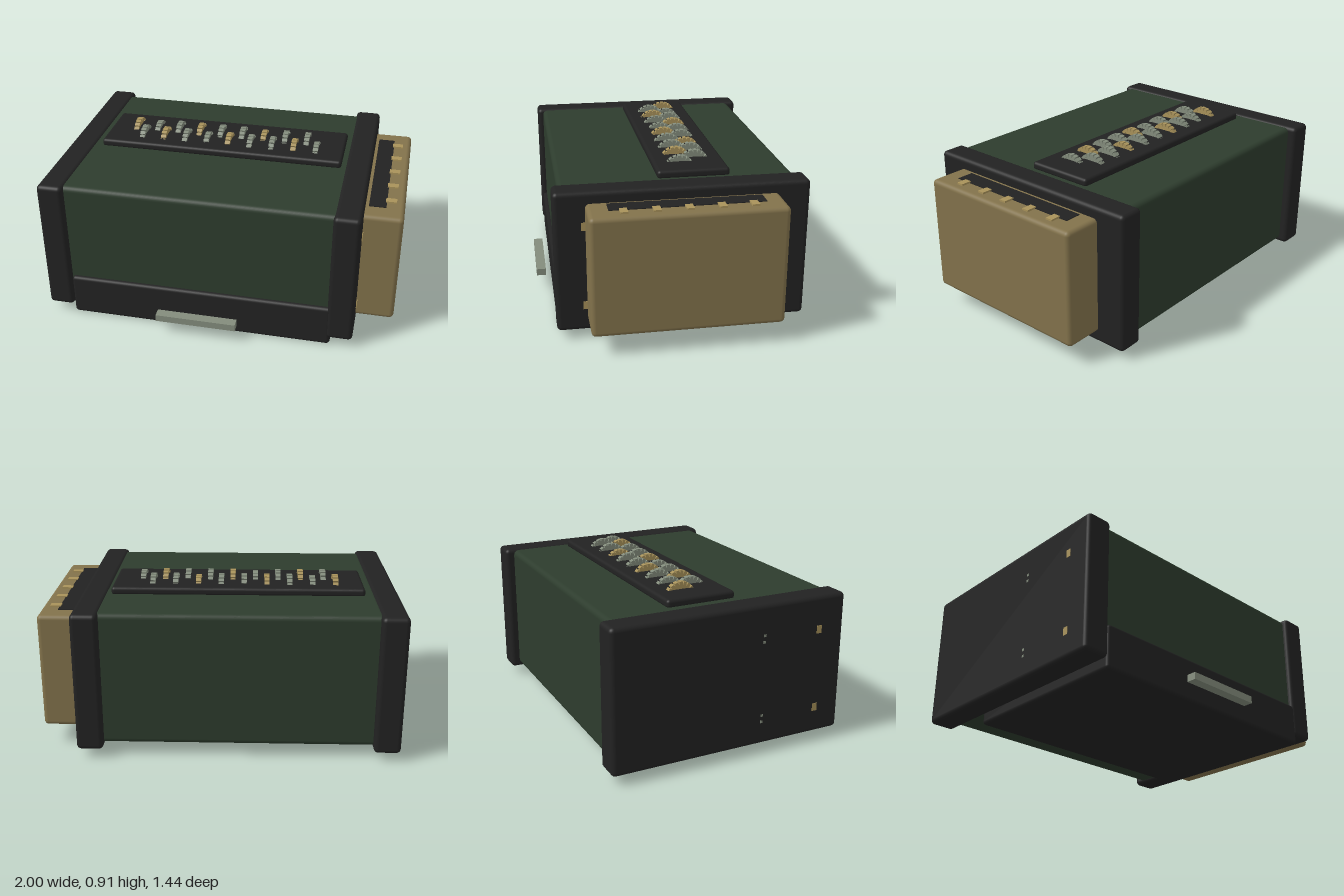
import * as THREE from 'three';
import { RoundedBoxGeometry } from 'three/addons/geometries/RoundedBoxGeometry.js';
import { mergeGeometries } from 'three/addons/utils/BufferGeometryUtils.js';

function material(name, color) {
  const m = new THREE.MeshStandardMaterial({ color });
  m.name = name;
  return m;
}

export function createModel() {
  const model = new THREE.Group();
  model.name = 'rotorBox';

  const black = material('black', 0x222222);
  const green = material('dark green', 0x2d3c2d);
  const brass = material('dull brass', 0x82724b);
  const paleBrass = material('pale brass', 0xa8925a);
  const steel = material('grey green steel', 0x838c7c);

  // Box given by its limits on each axis, with optional rounded edges
  function block(name, mat, [x0, x1], [y0, y1], [z0, z1], radius = 0) {
    const size = [x1 - x0, y1 - y0, z1 - z0];
    const geometry = radius
      ? new RoundedBoxGeometry(...size, 3, radius)
      : new THREE.BoxGeometry(...size);
    const mesh = new THREE.Mesh(geometry, mat);
    mesh.name = name;
    mesh.position.set((x0 + x1) / 2, (y0 + y1) / 2, (z0 + z1) / 2);
    model.add(mesh);
    return mesh;
  }

  // Housing
  block('body', green, [-0.88, 0.68], [0.07, 0.828], [-0.672, 0.605], 0.03);
  block('base', black, [-0.85, 0.66], [0, 0.245], [-0.415, 0.63], 0.02);
  block('rightEndPlate', black, [-1, -0.852], [0.05, 0.836], [-0.722, 0.638], 0.025);
  block('leftEndPlate', black, [0.638, 0.785], [0.05, 0.836], [-0.722, 0.638], 0.025);
  block('frontBar', steel, [-0.325, 0.135], [0.08, 0.12], [0.665, 0.72]);

  // Side case with its slot and clips
  block('sideCase', brass, [0.74, 0.997], [0.115, 0.773], [-0.553, 0.473], 0.025);
  block('caseSlot', black, [0.803, 0.897], [0.768, 0.777], [-0.452, 0.365]);
  for (let i = 0; i < 5; i++) {
    const z = -0.38 + i * 0.168;
    block('caseClip', paleBrass, [0.89, 0.95], [0.768, 0.783], [z - 0.02, z + 0.02]);
  }

  // Small fittings on the outer faces of the end plates
  for (const y of [0.2, 0.65]) {
    block('endPin', paleBrass, [-1.002, -0.99], [y - 0.022, y + 0.022], [0.465, 0.495]);
    block('endPin', paleBrass, [0.78, 0.79], [y - 0.022, y + 0.022], [0.465, 0.495]);
    for (const dy of [-0.018, 0.018]) {
      block('endRivet', steel, [-1.002, -0.99], [y + dy - 0.007, y + dy + 0.007], [0.133, 0.147]);
    }
  }

  // Top plate
  block('topPlate', black, [-0.81, 0.617], [0.82, 0.867], [-0.325, 0.07], 0.018);

  // Toothed wheel standing across the x axis
  const teeth = 20;
  const wheelParts = [new THREE.CylinderGeometry(0.076, 0.076, 0.02, 32).rotateZ(Math.PI / 2)];
  for (let i = 0; i < teeth; i++) {
    const tooth = new THREE.BoxGeometry(0.03, 0.018, 0.019);
    tooth.translate(0, 0.077, 0).rotateX((i / teeth) * Math.PI * 2);
    wheelParts.push(tooth);
  }
  const wheelGeometry = mergeGeometries(wheelParts);

  // Two staggered rows of wheels, every third one in brass
  const wheels = new THREE.Group();
  wheels.name = 'wheels';
  for (let i = 0; i < 18; i++) {
    const wheel = new THREE.Mesh(wheelGeometry, i % 3 === 0 ? paleBrass : steel);
    wheel.name = 'wheel';
    const drop = i % 5 === 2 ? 0.008 : 0;
    wheel.position.set(-0.65 + i * 0.065, 0.822 - drop, i % 2 === 0 ? -0.172 : -0.078);
    wheel.rotation.x = i * 0.37;
    wheels.add(wheel);
  }
  model.add(wheels);

  return model;
}
